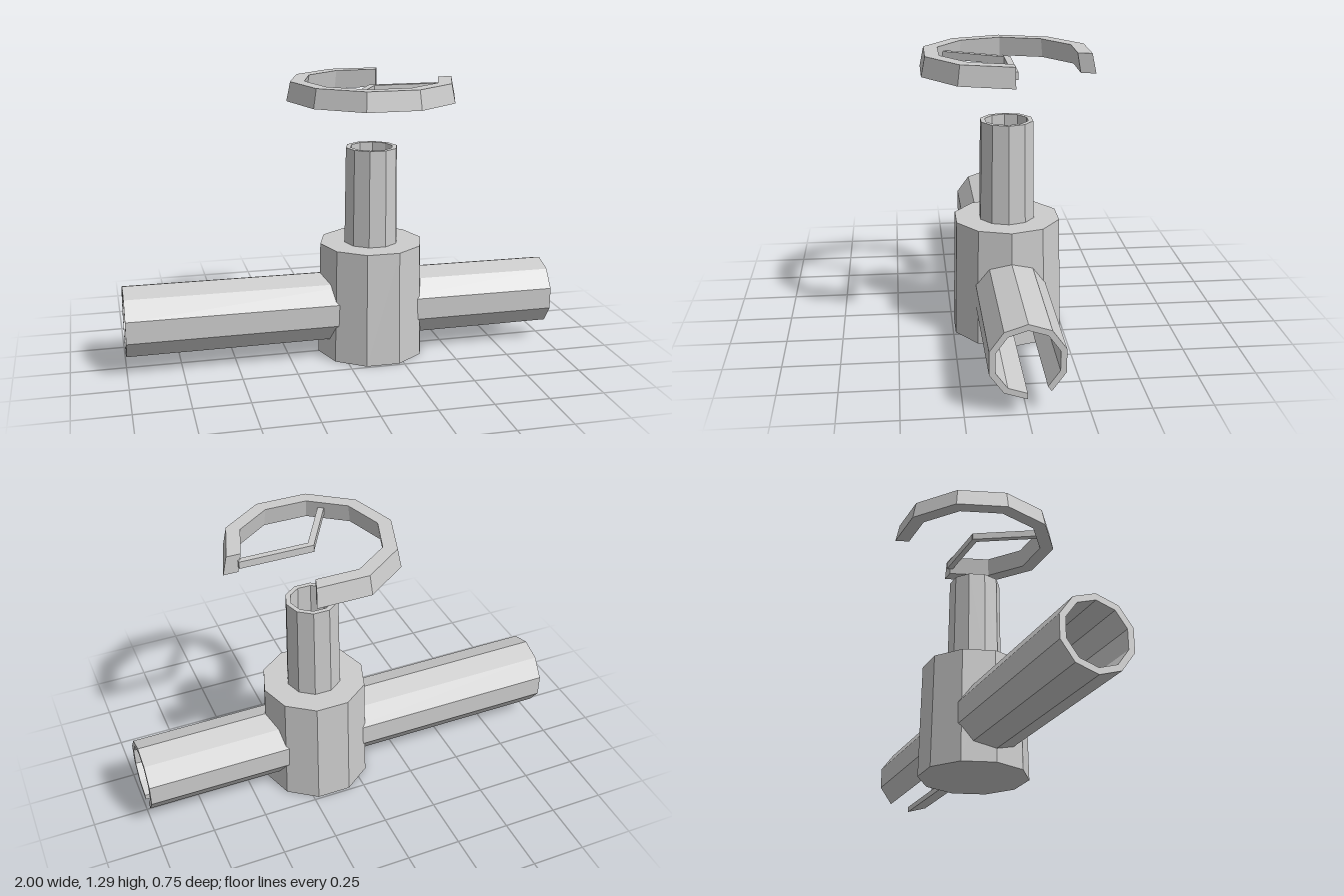
import * as THREE from 'three';

const SIDES = 10;
const STEP = (Math.PI * 2) / SIDES;
const QUARTER = Math.PI / 2;

export function createModel() {
  const model = new THREE.Group();
  model.name = 'pipeValve';
  const steel = new THREE.MeshStandardMaterial({ color: 0xcccccc, flatShading: true });
  steel.name = 'plain grey metal';

  function add(parent, name, geometry, x = 0, y = 0, z = 0) {
    const mesh = new THREE.Mesh(geometry, steel);
    mesh.name = name;
    mesh.position.set(x, y, z);
    parent.add(mesh);
    return mesh;
  }

  // Ten-sided hollow ring with a four-point wall section; skips some sides and caps the cut ends
  function ring(name, section, missing = 0) {
    const group = new THREE.Group();
    group.name = name;
    const points = section.map(([r, y]) => new THREE.Vector2(r, y));
    const start = QUARTER + missing * STEP;
    const count = SIDES - missing;
    add(group, name + 'Wall', new THREE.LatheGeometry([...points, points[0].clone()], count, start, count * STEP));
    if (missing > 0) {
      [start, QUARTER].forEach((angle, i) => {
        const cap = new THREE.ShapeGeometry(new THREE.Shape(points));
        if (i === 1) cap.index.array.reverse();
        add(group, name + 'CutEnd', cap).rotation.y = angle - QUARTER;
      });
    }
    model.add(group);
    return group;
  }

  // Wall section from outer and inner radii at the bottom and top
  const wall = (y0, y1, out0, out1, in0, in1) => [[out0, y0], [out1, y1], [in1, y1], [in0, y0]];

  const cx = 0.15;

  // Solid valve body
  add(model, 'valveBody', new THREE.CylinderGeometry(0.241, 0.252, 0.53, SIDES, 1, false, QUARTER), cx, 0.265, 0);

  // Hollow upright stem
  ring('stem', wall(0.525, 0.977, 0.126, 0.12, 0.104, 0.098)).position.x = cx;

  // Horizontal pipes on both sides; the left-hand one (+x) has one side missing
  const pipes = [
    ring('rightPipe', wall(-1, cx, 0.166, 0.163, 0.138, 0.136)),
    ring('leftPipe', wall(cx, 1, 0.163, 0.16, 0.136, 0.134), 1),
  ];
  for (const pipe of pipes) {
    pipe.rotation.z = -QUARTER;
    pipe.position.y = 0.226;
  }

  // Broken hand wheel floating above the stem
  ring('handWheel', wall(1.2, 1.286, 0.392, 0.374, 0.325, 0.31), 2).position.x = cx;

  // Two remaining spokes
  for (const angle of [0, (Math.PI * 2) / 3]) {
    const geometry = new THREE.BoxGeometry(0.335, 0.033, 0.028);
    geometry.translate(0.1575, 0, 0);
    add(model, 'spoke', geometry, cx, 1.241, -0.002).rotation.y = -angle;
  }
  return model;
}
